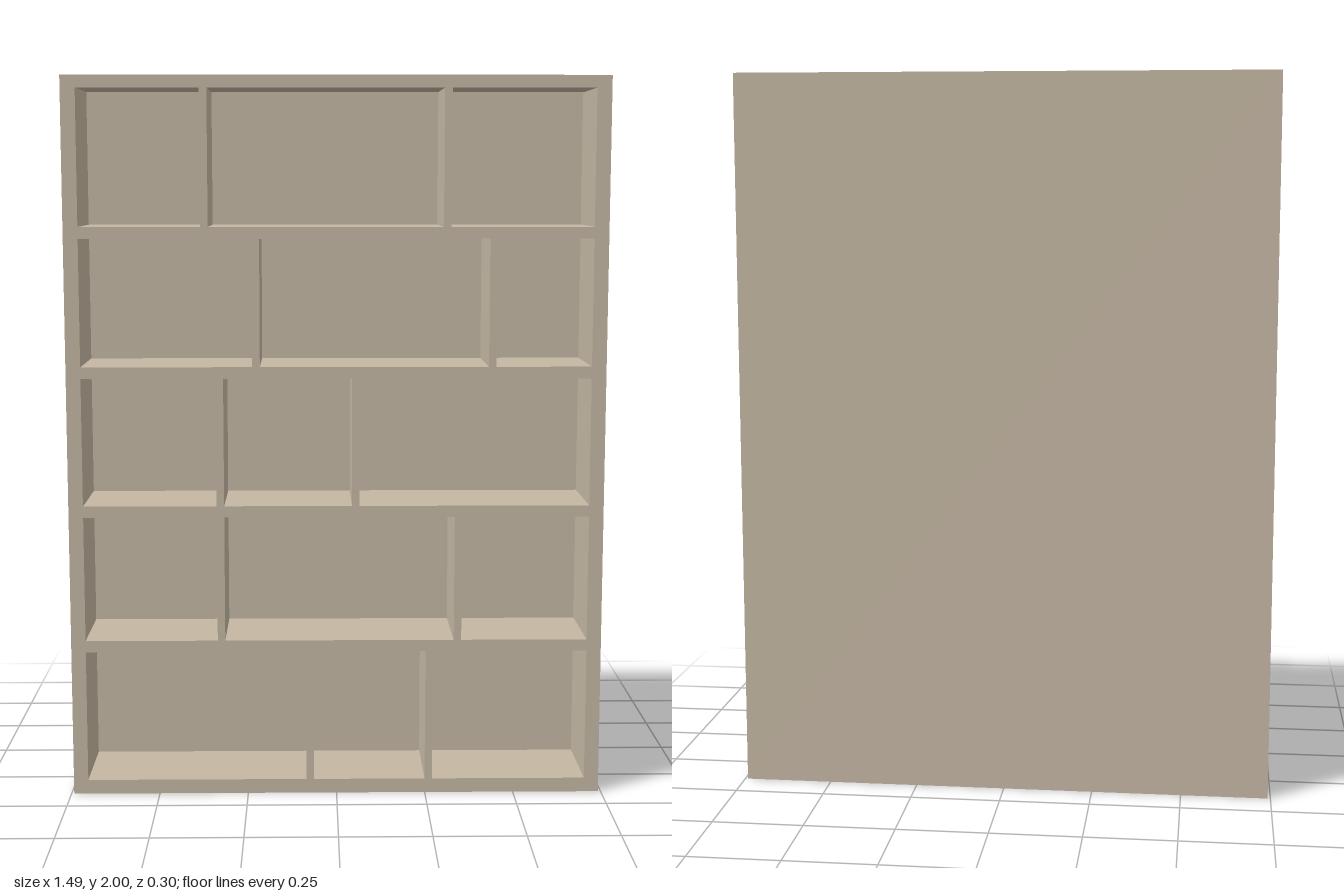
import * as THREE from 'three';

const W = 1.485, H = 2, D = 0.296, BACK = 0.04;
const INNER = 0.702, DIVIDER = 0.021;

// Each shelf row: bottom, top and the centres of its upright dividers
const rows = [
  { y0: 0.04, y1: 0.411, dividers: [-0.074, 0.26] },
  { y0: 0.443, y1: 0.793, dividers: [-0.322, 0.339] },
  { y0: 0.825, y1: 1.18, dividers: [-0.322, 0.053] },
  { y0: 1.212, y1: 1.562, dividers: [-0.221, 0.429] },
  { y0: 1.594, y1: 1.966, dividers: [-0.36, 0.302] },
];

function rect(target, x0, y0, x1, y1) {
  target.moveTo(x0, y0);
  target.lineTo(x1, y0);
  target.lineTo(x1, y1);
  target.lineTo(x0, y1);
  target.closePath();
  return target;
}

export function createModel() {
  const group = new THREE.Group();
  group.name = 'bookcase';
  const wood = new THREE.MeshStandardMaterial({ color: 0xc4b7a3 });
  wood.name = 'pale wood';

  // Frame, shelves and dividers: a slab with one opening per compartment
  const outline = rect(new THREE.Shape(), -W / 2, 0, W / 2, H);
  for (const { y0, y1, dividers } of rows) {
    const edges = [-INNER, ...dividers.flatMap((x) => [x - DIVIDER / 2, x + DIVIDER / 2]), INNER];
    for (let i = 0; i < edges.length; i += 2) {
      outline.holes.push(rect(new THREE.Path(), edges[i], y0, edges[i + 1], y1));
    }
  }
  const frame = new THREE.Mesh(
    new THREE.ExtrudeGeometry(outline, { depth: D - BACK, bevelEnabled: false }), wood);
  frame.name = 'shelfFrame';
  frame.position.z = -D / 2 + BACK;
  group.add(frame);

  // Solid back closing every compartment
  const back = new THREE.Mesh(new THREE.BoxGeometry(W, H, BACK), wood);
  back.name = 'backPanel';
  back.position.set(0, H / 2, -D / 2 + BACK / 2);
  group.add(back);

  return group;
}
